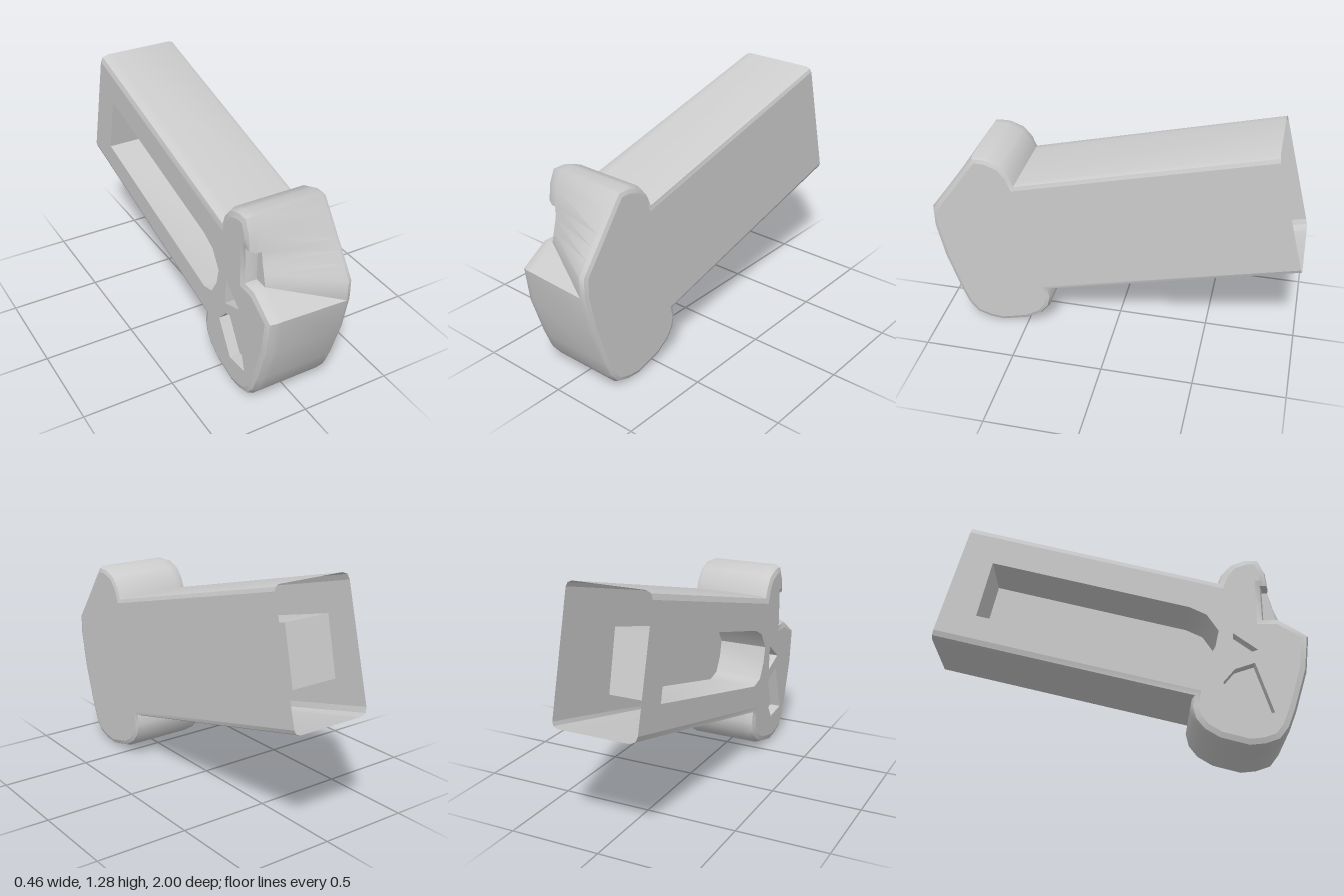
import * as THREE from 'three';
import { toCreasedNormals } from 'three/addons/utils/BufferGeometryUtils.js';

const material = new THREE.MeshStandardMaterial({ color: 0xcccccc, side: THREE.DoubleSide });

// Side outlines are lists of [z, y], running clockwise from the top of the open back end.
const start = [[-0.825, 1.285], [0.52, 0.94], [0.54, 0.99], [0.59, 1.05], [0.67, 1.08], [0.745, 1.08]];
const end = [[0.96, 0.42], [0.89, 0.2], [0.85, 0.1], [0.8, 0.035], [0.72, 0.008], [0.64, 0],
  [0.49, 0.04], [0.41, 0.09], [0.365, 0.15], [0.35, 0.22], [0.36, 0.27], [-1, 0.61]];
const outline = (face) => [...start, ...face, ...end];
const leftOutline = outline([[0.8, 1.005], [0.872, 0.905], [0.91, 0.853], [0.95, 0.799], [1, 0.73], [1, 0.62]]);
const rightOutline = outline([[0.78, 1], [0.79, 0.9], [0.8, 0.84], [0.815, 0.78], [0.83, 0.72], [0.985, 0.62]]);
const notchOutline = outline([[0.78, 1], [0.79, 0.9], [0.755, 0.9], [0.755, 0.72], [0.83, 0.72], [0.985, 0.62]]);

// Moves every edge inward by d, except the open back edge
function inset(pts, d) {
  const n = pts.length;
  const edge = (i) => {
    const a = pts[i], b = pts[(i + 1) % n];
    const dz = b[0] - a[0], dy = b[1] - a[1], l = Math.hypot(dz, dy);
    return { z: dy / l, y: -dz / l, d: i === n - 1 ? 0 : d };
  };
  return pts.map((p, i) => {
    const e = edge((i + n - 1) % n), f = edge(i);
    const det = e.z * f.y - e.y * f.z;
    if (Math.abs(det) < 0.02) return [p[0] + f.z * f.d, p[1] + f.y * f.d];
    return [p[0] + (e.d * f.y - e.y * f.d) / det, p[1] + (e.z * f.d - e.d * f.z) / det];
  });
}

// Skins a row of rings { x, pts }
function loft(rings, closed) {
  const n = rings[0].pts.length, pos = [], index = [];
  rings.forEach((r) => r.pts.forEach(([z, y]) => pos.push(r.x, y, z)));
  for (let i = 0; i < rings.length - 1; i++) {
    for (let j = 0; j < (closed ? n : n - 1); j++) {
      const k = (j + 1) % n, a = i * n + j, b = i * n + k;
      index.push(a, a + n, b, b, a + n, b + n);
    }
  }
  const g = new THREE.BufferGeometry();
  g.setAttribute('position', new THREE.Float32BufferAttribute(pos, 3));
  g.setIndex(index);
  return toCreasedNormals(g, 0.75);
}

// Flat panel at x, facing +x (side 1) or -x (side -1)
function panel(pts, x, side, holes = []) {
  const vec = (list) => list.map(([z, y]) => new THREE.Vector2(-side * z, y));
  const shape = new THREE.Shape(vec(pts));
  holes.forEach((h) => shape.holes.push(new THREE.Path(vec(h))));
  return new THREE.ShapeGeometry(shape).rotateY(side * Math.PI / 2).translate(x, 0, 0);
}

export function createModel() {
  const model = new THREE.Group();
  const add = (name, geometry, parent = model) => {
    const mesh = new THREE.Mesh(geometry, material);
    mesh.name = name;
    parent.add(mesh);
  };
  const X = 0.23;

  // Shell: sleeve and head in one skin, with the notch cut at the right front edge
  const notchRim = inset(notchOutline, 0.04);
  const leftRim = inset(leftOutline, 0.03);
  add('shell', loft([
    { x: X, pts: leftRim },
    { x: X - 0.008, pts: inset(leftOutline, 0.01) },
    { x: X - 0.03, pts: leftOutline },
    { x: -0.16, pts: rightOutline },
    { x: -0.16, pts: notchOutline },
    { x: -X + 0.04, pts: notchOutline },
    { x: -X + 0.01, pts: inset(notchOutline, 0.012) },
    { x: -X, pts: notchRim },
  ], false));
  add('leftPanel', panel(leftRim, X, 1));

  // Recesses in the right side
  const recesses = [
    { name: 'longSlot', depth: 0.28, pts: [[-0.7, 1.05], [0.36, 0.78], [0.45, 0.735], [0.51, 0.64],
      [0.49, 0.55], [0.44, 0.465], [0.36, 0.445], [-0.77, 0.73]] },
    { name: 'triangleRecess', depth: 0.06, pts: [[0.585, 0.625], [0.71, 0.53], [0.577, 0.48]] },
    { name: 'pentagonRecess', depth: 0.06, pts: [[0.585, 0.42], [0.69, 0.455], [0.775, 0.18],
      [0.63, 0.165], [0.52, 0.345]] },
  ];
  add('rightPanel', panel(notchRim, -X, -1, recesses.map((r) => r.pts)));
  for (const { name, depth, pts } of recesses) {
    const group = new THREE.Group();
    group.name = name;
    add('recessWall', loft([{ x: -X, pts }, { x: -X + depth, pts }], true), group);
    add('recessFloor', panel(pts, -X + depth, -1), group);
    model.add(group);
  }
  return model;
}
